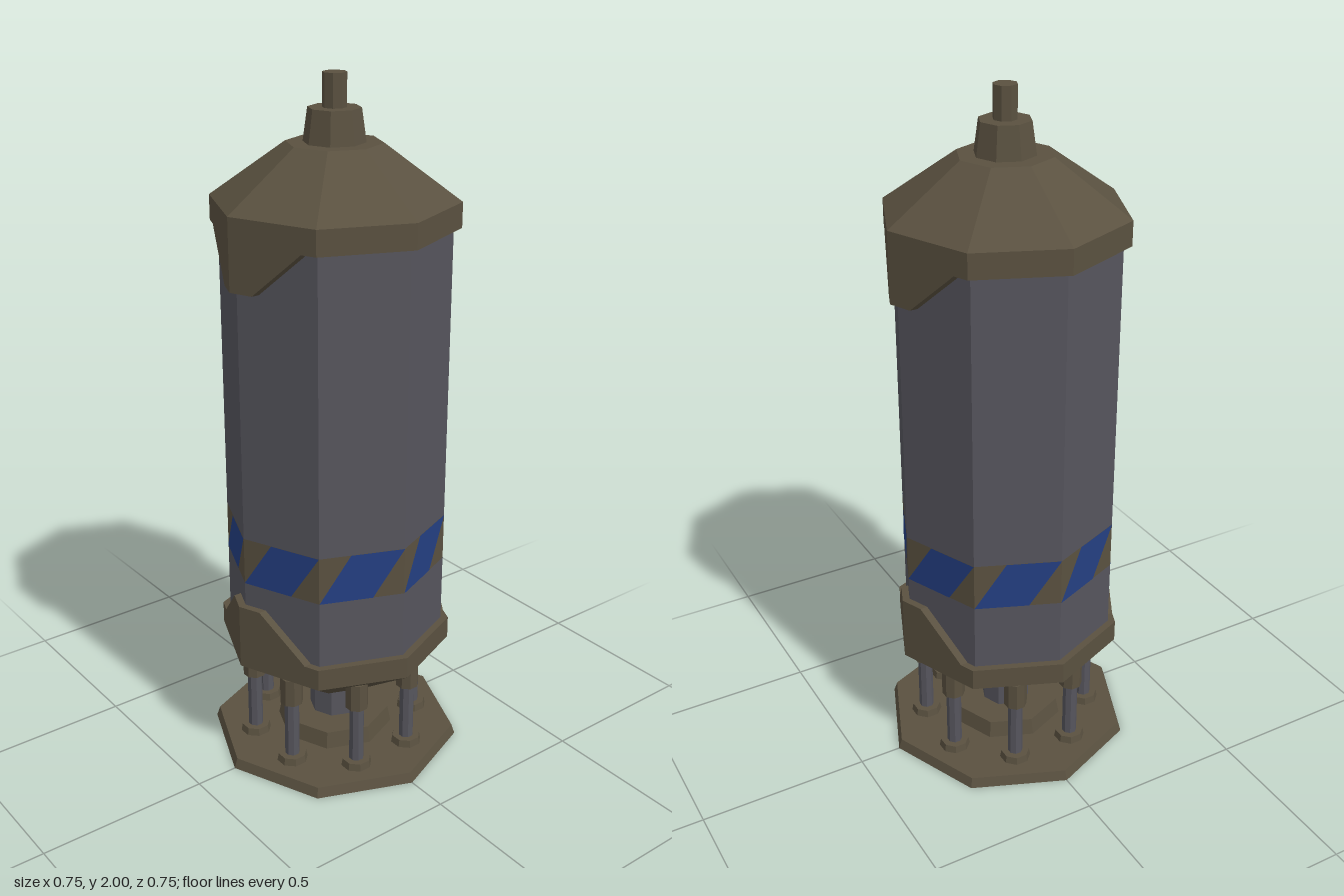
import * as THREE from 'three';

const mat = (color, side = THREE.FrontSide) =>
  new THREE.MeshStandardMaterial({ color, flatShading: true, side });
const olive = mat(0x5a5140);
const grey = mat(0x56555d);
const blue = mat(0x243f82, THREE.DoubleSide);

const SIDES = 8;
const BODY_R = 0.32;
const CAP_R = 0.342;

export function createModel() {
  const group = new THREE.Group();

  const add = (name, geometry, material, parent = group) => {
    const mesh = new THREE.Mesh(geometry, material);
    mesh.name = name;
    parent.add(mesh);
    return mesh;
  };

  // Octagonal solid of revolution, profile listed bottom to top as [radius, y]
  const turned = (name, profile, material) =>
    add(name, new THREE.LatheGeometry(profile.map(([r, y]) => new THREE.Vector2(r, y)), SIDES), material);

  // Straight or tapered prism between two heights
  const prism = (name, rBottom, rTop, y0, y1, material, parent) => {
    const g = new THREE.CylinderGeometry(rTop, rBottom, y1 - y0, SIDES);
    g.translate(0, (y0 + y1) / 2, 0);
    return add(name, g, material, parent);
  };

  // Base plate, hub and central column
  prism('basePlate', 0.375, 0.365, 0, 0.03, olive);
  prism('baseHub', 0.175, 0.165, 0.03, 0.08, olive);
  prism('column', 0.075, 0.075, 0.08, 0.21, grey);

  // Lower cap, tank body and upper cap
  turned('lowerCap', [[0, 0.2], [0.135, 0.2], [CAP_R, 0.345], [CAP_R, 0.41], [0.3, 0.41]], olive);
  prism('bodyLower', BODY_R, BODY_R, 0.4, 0.61, grey);
  prism('warningBand', BODY_R, BODY_R, 0.61, 0.75, olive);
  prism('bodyUpper', BODY_R, BODY_R, 0.75, 1.61, grey);
  turned('upperCap', [[0.3, 1.6], [CAP_R, 1.6], [CAP_R, 1.67], [0.132, 1.82], [0, 1.82]], olive);

  // Valve on top
  prism('valveCollar', 0.085, 0.072, 1.82, 1.91, olive);
  prism('valvePin', 0.033, 0.033, 1.9, 2, olive);

  // Slanted blue stripe on every face of the band
  const apothem = BODY_R * Math.cos(Math.PI / SIDES) + 0.001;
  const faceWidth = 2 * BODY_R * Math.sin(Math.PI / SIDES);
  const stripe = new THREE.Shape(
    [[0, 0.61], [0.63, 0.61], [1, 0.75], [0.37, 0.75]].map(
      ([u, y]) => new THREE.Vector2((u - 0.5) * faceWidth, y)));
  const stripeGeometry = new THREE.ShapeGeometry(stripe);
  stripeGeometry.translate(0, 0, apothem);

  for (let i = 0; i < SIDES; i++) {
    const angle = ((i + 0.5) / SIDES) * Math.PI * 2;
    add('warningStripe', stripeGeometry, blue).rotation.y = angle;

    // Support strut: foot, rod and sleeve
    const strut = new THREE.Group();
    strut.name = 'strut';
    strut.position.set(Math.sin(angle) * 0.25, 0, Math.cos(angle) * 0.25);
    strut.rotation.y = angle;
    prism('strutFoot', 0.046, 0.042, 0.03, 0.052, olive, strut);
    prism('strutRod', 0.022, 0.022, 0.05, 0.24, grey, strut);
    prism('strutSleeve', 0.034, 0.034, 0.23, 0.315, olive, strut);
    group.add(strut);
  }

  // Half of a cap tab, bent back from the octagon's corner
  const halfTab = (side, y, dir) => {
    const shape = new THREE.Shape(
      [[0, 0], [0.2, 0], [0.185, 0.015], [0.063, 0.13], [0, 0.13]].map(
        ([x, h]) => new THREE.Vector2(side * x, y + dir * h)));
    const g = new THREE.ExtrudeGeometry(shape, { depth: CAP_R - BODY_R + 0.01, bevelEnabled: false });
    const p = g.attributes.position;
    const slope = Math.tan(Math.PI / SIDES);
    for (let i = 0; i < p.count; i++) {
      p.setZ(i, p.getZ(i) + BODY_R - 0.01 - Math.abs(p.getX(i)) * slope);
    }
    g.computeVertexNormals();
    return g;
  };

  // Tabs at front and back of both caps
  for (const [name, y, dir] of [['upperTab', 1.6, -1], ['lowerTab', 0.41, 1]]) {
    for (const side of [-1, 1]) {
      const geometry = halfTab(side, y, dir);
      for (const turn of [0, Math.PI]) add(name, geometry, olive).rotation.y = turn;
    }
  }

  return group;
}
